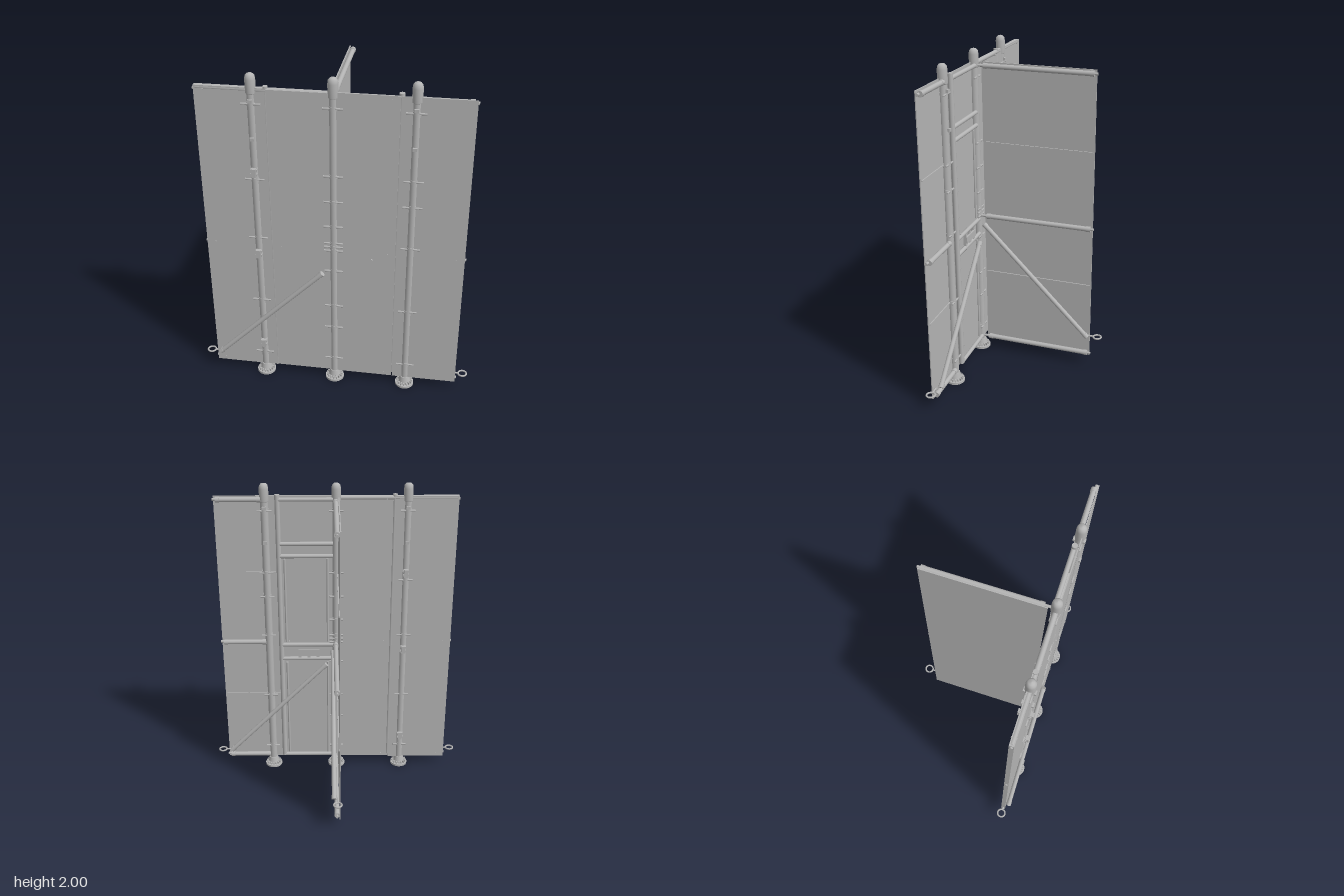
import * as THREE from 'three';

export function createModel() {
  const model = new THREE.Group();
  model.name = 'modularFence';
  const steel = new THREE.MeshStandardMaterial({ name: 'galvanisedGrey', color: 0xb4b4b4 });
  const V = (x, y, z) => new THREE.Vector3(x, y, z);
  const Z = 0.382; // wall centre line

  function add(name, geo, x = 0, y = 0, z = 0, parent = model) {
    const m = new THREE.Mesh(geo, steel);
    m.name = name;
    m.position.set(x, y, z);
    parent.add(m);
    return m;
  }
  const box = (name, w, h, d, x, y, z, parent) => add(name, new THREE.BoxGeometry(w, h, d), x, y, z, parent);
  // Cylinder between two points
  function rod(name, a, b, r, parent, sides = 16) {
    const d = b.clone().sub(a);
    const m = add(name, new THREE.CylinderGeometry(r, r, d.length(), sides), 0, 0, 0, parent);
    m.position.copy(a).add(b).multiplyScalar(0.5);
    m.quaternion.setFromUnitVectors(V(0, 1, 0), d.normalize());
    return m;
  }
  // Pipe with thicker end sleeves
  function sleevedPipe(name, a, b, r) {
    const g = new THREE.Group();
    g.name = name;
    model.add(g);
    const dir = b.clone().sub(a).normalize();
    rod('pipe', a, b, r, g);
    rod('startSleeve', a, a.clone().addScaledVector(dir, 0.025), r * 1.15, g);
    rod('endSleeve', b.clone().addScaledVector(dir, -0.025), b, r * 1.15, g);
  }

  // Posts with flanged foot, ribs, cap and cross pegs
  const pegs = {
    '-0.44': [1.83, 1.38, 1.0, 0.56, 0.16],
    '0': [1.83, 1.43, 1.27, 1.11, 1.0, 0.975, 0.95, 0.81, 0.56, 0.4, 0.16],
    '0.44': [1.83, 1.43, 1.27, 1.0, 0.56, 0.16],
  };
  for (const px of [-0.44, 0, 0.44]) {
    const post = new THREE.Group();
    post.name = 'post';
    post.position.set(px, 0, Z);
    model.add(post);
    rod('postTube', V(0, 0.01, 0), V(0, 1.9, 0), 0.024, post, 24);
    rod('footFlange', V(0, 0, 0), V(0, 0.014, 0), 0.057, post, 32);
    add('footCone', new THREE.CylinderGeometry(0.029, 0.04, 0.05, 24), 0, 0.037, 0, post);
    for (let i = 0; i < 8; i++) {
      const rib = box('footRib', 0.1, 0.02, 0.006, 0, 0.02, 0, post);
      rib.rotation.y = i * Math.PI / 8;
    }
    const cap = [[0.024, 1.885], [0.029, 1.89], [0.029, 1.965], [0.026, 1.985], [0.016, 1.996], [0, 2]];
    add('postCap', new THREE.LatheGeometry(cap.map(p => new THREE.Vector2(...p)), 24), 0, 0, 0, post);
    for (const y of pegs[px]) {
      rod('crossPeg', V(-0.055, y, 0.016), V(0.055, y, 0.016), 0.006, post, 8);
      rod('crossPegBack', V(-0.045, y, -0.018), V(0.045, y, -0.018), 0.006, post, 8);
      rod('pegCollar', V(0, y - 0.012, 0), V(0, y + 0.012, 0), 0.026, post, 24);
    }
    if (px !== 0) for (const y of [1.63, 1.85]) box('smallClamp', 0.024, 0.018, 0.07, 0, y, 0, post);
    if (px < 0) for (const y of [1.43, 0.9, 0.24]) {
      box('latchClamp', 0.026, 0.05, 0.092, 0, y, 0, post);
      for (const dy of [-0.014, 0.014]) box('latchTab', 0.038, 0.012, 0.07, 0, y + dy, 0, post);
    }
  }

  // Right-hand wing: closed panels, outer and inner leaf
  box('outerClosedPanel', 0.39, 1.86, 0.027, -0.555, 0.99, Z);
  box('innerClosedPanel', 0.352, 1.85, 0.025, -0.18, 0.99, Z + 0.003);
  rod('closedTopRail', V(-0.74, 1.908, Z), V(-0.03, 1.908, Z), 0.0145);

  // Left-hand wing: front sheets with frame behind
  box('innerSheet', 0.352, 1.86, 0.006, 0.18, 0.99, Z + 0.011);
  box('outerSheet', 0.388, 1.86, 0.006, 0.556, 0.99, Z + 0.012);
  // Rear wing sheet
  box('rearSheet', 0.006, 1.86, 0.7, -0.015, 0.99, -0.01);
  const levels = [1.9, 0.95, 0.085];
  for (const y of levels) {
    sleevedPipe('rearRail', V(0.004, y, 0.32), V(0.004, y, -0.35), 0.015);
    rod('rearRailEnd', V(0.004, y, 0.37), V(0.004, y, -0.37), 0.008, model, 10);
    sleevedPipe('outerRail', V(0.46, y, Z - 0.008), V(0.735, y, Z - 0.008), 0.015);
    for (const s of [-1, 1]) {
      rod('railEndKnob', V(s * 0.72, y, Z), V(s * 0.757, y, Z), 0.009, model, 10);
      for (const x of [0.31, 0.7]) rod('bolt', V(s * x, y, Z - 0.018), V(s * x, y, Z + 0.018), 0.004, model, 8);
    }
  }
  for (const y of [1.43, 0.56]) {
    box('rearSeamBar', 0.008, 0.008, 0.68, -0.009, y, -0.01);
    box('outerSeamBar', 0.36, 0.008, 0.008, 0.56, y, Z + 0.006);
  }

  // Gate leaf frame
  rod('gateStile', V(0.36, 0.08, Z - 0.01), V(0.36, 1.93, Z - 0.01), 0.016);
  rod('closedStile', V(-0.36, 0.08, Z), V(-0.36, 1.93, Z), 0.014);
  for (const y of [1.9, 1.62, 1.54, 0.93, 0.83, 0.085])
    rod('gateRail', V(0.02, y, Z - 0.012), V(0.36, y, Z - 0.012), 0.013);
  for (const x of [0.12, 0.18, 0.24]) box('gateLatchBar', 0.02, 0.1, 0.016, x, 0.88, Z - 0.012);
  box('gateLatchPlate', 0.14, 0.04, 0.012, 0.18, 0.88, Z - 0.022);
  for (const x of [0.055, 0.325]) for (const [a, b] of [[0.1, 0.8], [0.95, 1.52]])
    rod('gateUpright', V(x, a, Z - 0.008), V(x, b, Z - 0.008), 0.007, model, 8);
  rod('gateButton', V(0.22, 0.905, Z), V(0.22, 0.905, Z + 0.022), 0.008);

  // Diagonal braces
  sleevedPipe('frontBrace', V(-0.725, 0.135, Z + 0.03), V(-0.065, 0.795, Z + 0.03), 0.0145);
  sleevedPipe('backBrace', V(0.725, 0.135, Z - 0.035), V(0.065, 0.795, Z - 0.035), 0.0145);
  sleevedPipe('rearBrace', V(0.022, 0.9, 0.335), V(0.022, 0.21, -0.35), 0.0145);

  // Anchor eyes at the wing ends
  for (const [x, y, z] of [[-0.793, 0.12, Z], [0.793, 0.12, Z], [0, 0.21, -0.412]]) {
    const eye = add('anchorEye', new THREE.TorusGeometry(0.025, 0.0055, 8, 28), x, y, z);
    eye.rotation.x = Math.PI / 2;
    const inner = x === 0 ? V(0, y, -0.34) : V(Math.sign(x) * 0.72, y, z);
    const outer = x === 0 ? V(0, y, -0.388) : V(Math.sign(x) * 0.769, y, z);
    rod('anchorShank', inner, outer, 0.006, model, 10);
  }
  return model;
}
